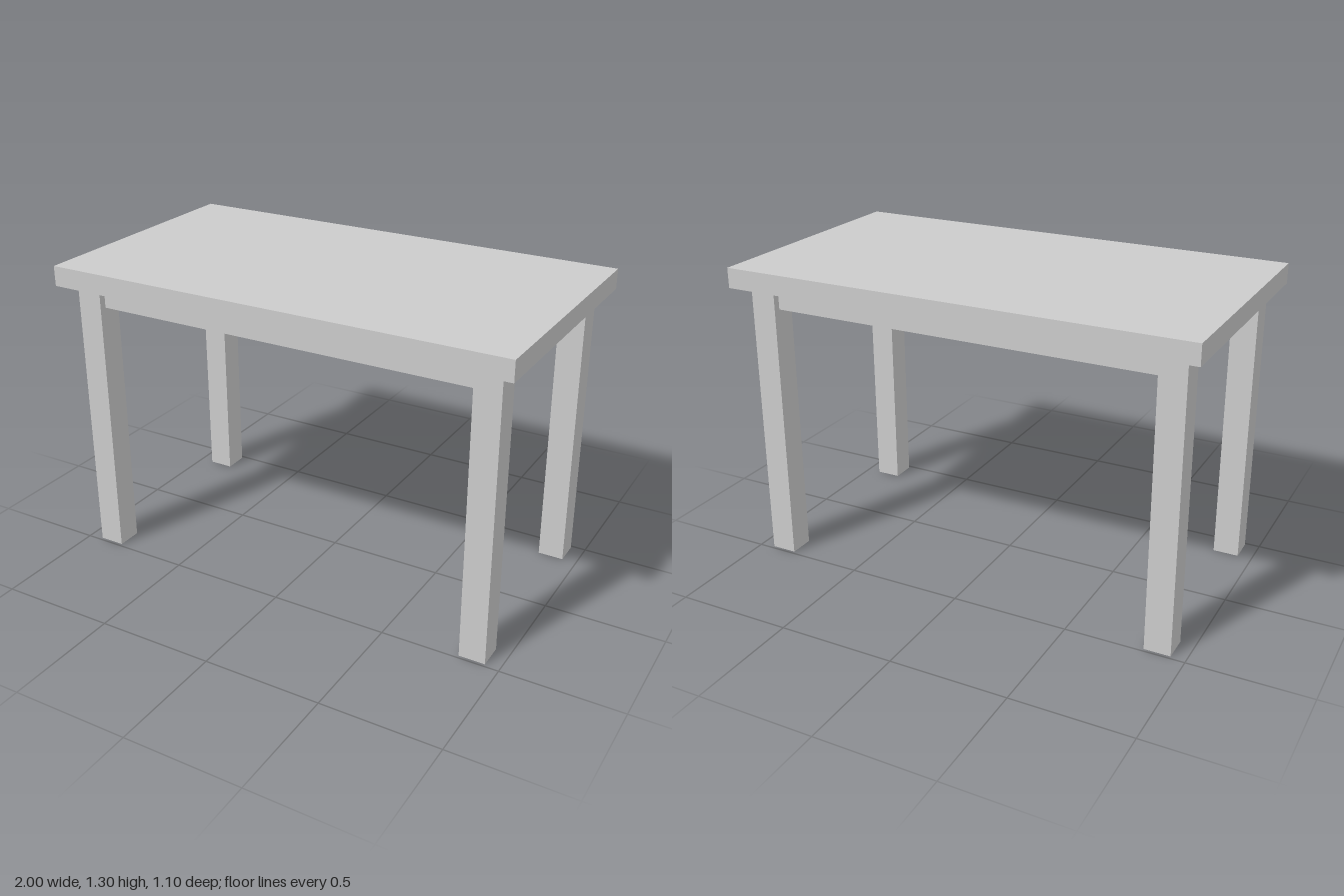
import * as THREE from 'three';

export function createModel() {
  const table = new THREE.Group();
  table.name = 'table';
  const material = new THREE.MeshStandardMaterial({ color: 0xcccccc, flatShading: true });

  // Box standing on height y
  const addBox = (name, w, h, d, x, y, z) => {
    const mesh = new THREE.Mesh(new THREE.BoxGeometry(w, h, d), material);
    mesh.name = name;
    mesh.position.set(x, y + h / 2, z);
    table.add(mesh);
  };

  const legSize = 0.11, legX = 0.883, legZ = 0.431;
  const topY = 1.212, topThickness = 0.085;
  const apronHeight = 0.093, apronThickness = 0.05;

  addBox('tabletop', 2, topThickness, 1.1, 0, topY, 0);

  for (const side of [-1, 1]) {
    // Square legs
    for (const end of [-1, 1]) {
      const name = (end > 0 ? 'front' : 'back') + (side > 0 ? 'Left' : 'Right') + 'Leg';
      addBox(name, legSize, topY, legSize, side * legX, 0, end * legZ);
    }
    // Aprons between the legs, centred on their thickness
    const apronY = topY - apronHeight;
    addBox(side > 0 ? 'frontApron' : 'backApron',
      2 * legX - legSize, apronHeight, apronThickness, 0, apronY, side * legZ);
    addBox(side > 0 ? 'leftApron' : 'rightApron',
      apronThickness, apronHeight, 2 * legZ - legSize, side * legX, apronY, 0);
  }
  return table;
}
